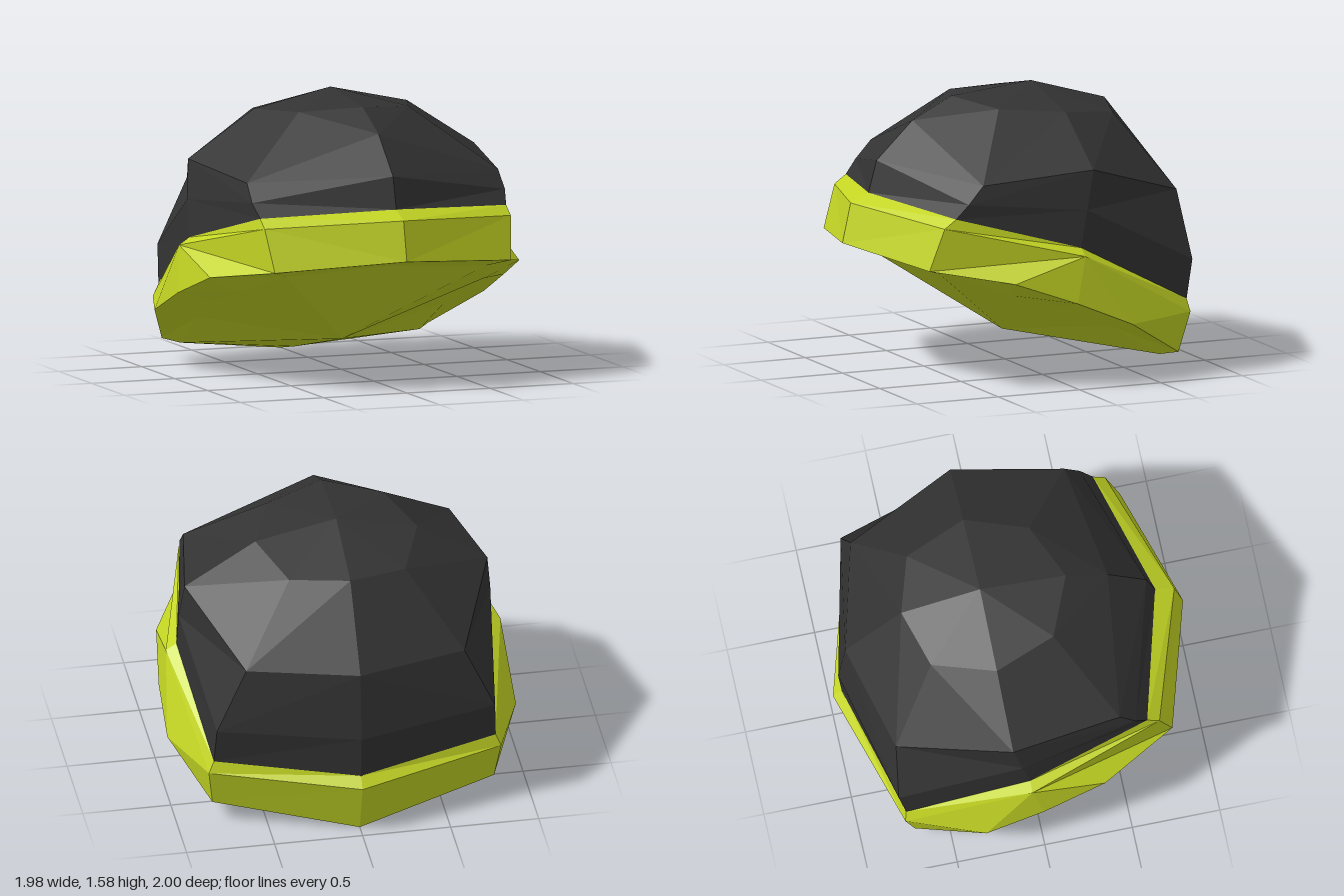
import * as THREE from 'three';

// Faceted skin through half rings that run front -> left side -> back, mirrored in x.
function loft(rings) {
  const pos = [];
  const same = (p, q) => p.every((v, i) => v === q[i]);
  const tri = (a, b, c) => {
    if (same(a, b) || same(b, c) || same(a, c)) return;
    pos.push(...a, ...b, ...c);
    for (const [x, y, z] of [a, c, b]) pos.push(-x, y, z);
  };
  for (let r = 0; r < rings.length - 1; r++) {
    const lo = rings[r], up = rings[r + 1];
    for (let i = 0; i < lo.length - 1; i++) {
      tri(lo[i], lo[i + 1], up[i + 1]);
      tri(lo[i], up[i + 1], up[i]);
    }
  }
  const geo = new THREE.BufferGeometry();
  geo.setAttribute('position', new THREE.Float32BufferAttribute(pos, 3));
  geo.computeVertexNormals();
  return geo;
}

// One point repeated, to close a skin to a tip.
const tip = (p, n) => Array(n).fill(p);
// Repeat the side point so a 5-point ring meets a 7-point one in a fan.
const fanSide = ([f, fl, s, bl, b]) => [f, fl, s, s, s, bl, b];

function mesh(name, geo, mat) {
  const m = new THREE.Mesh(geo, mat);
  m.name = name;
  return m;
}

export function createModel() {
  const group = new THREE.Group();
  group.name = 'knitCap';
  const charcoal = new THREE.MeshStandardMaterial({ color: 0x333333, flatShading: true });
  charcoal.name = 'charcoal';
  const lime = new THREE.MeshStandardMaterial({ color: 0xc3d524, flatShading: true });
  lime.name = 'lime';

  // Seam where crown and brim meet
  const seam = [[0, 1.02, 0.84], [0.74, 0.98, 0.64], [0.89, 0.79, -0.06], [0.8, 0.43, -0.75], [0, 0.37, -0.95]];

  // Crown
  const crown = [
    seam,
    [[0, 1.2, 0.79], [0.76, 1.06, 0.57], [0.885, 1.0, -0.1], [0.79, 0.65, -0.79], [0, 0.62, -0.97]],
    [[0, 1.41, 0.57], [0.755, 1.16, 0.48], [0.86, 1.22, -0.15], [0.62, 1.02, -0.77], [0, 1.02, -0.93]],
    [[0, 1.53, 0.33], [0.33, 1.5, 0.19], [0.46, 1.48, -0.16], [0.33, 1.43, -0.51], [0, 1.45, -0.61]],
    tip([0, 1.58, -0.16], 5),
  ];
  group.add(mesh('crown', loft(crown), charcoal));

  // Folded brim: lower rim, outer wall and top ledge
  const lowerRim = [[0, 0.745, 1], [0.71, 0.69, 0.79], [0.93, 0.62, 0.36], [0.98, 0.49, 0],
    [0.99, 0.35, -0.33], [0.8, 0.13, -0.7], [0, 0.005, -0.91]];
  const upperRim = [[0, 0.97, 0.95], [0.74, 0.93, 0.71], [0.95, 0.75, -0.06], [0.83, 0.36, -0.76], [0, 0.31, -1]];
  group.add(mesh('brim', loft([lowerRim, fanSide(upperRim), fanSide(seam)]), lime));

  // Closed underside
  const inner = [[0, 0.69, 0.75], [0.6, 0.65, 0.68], [0.74, 0.52, 0.3], [0.76, 0.44, 0],
    [0.74, 0.3, -0.3], [0.72, 0.11, -0.62], [0, 0.04, -0.7]];
  group.add(mesh('underside', loft([tip([0, 0.18, 0.02], 7), inner, lowerRim]), lime));

  return group;
}
